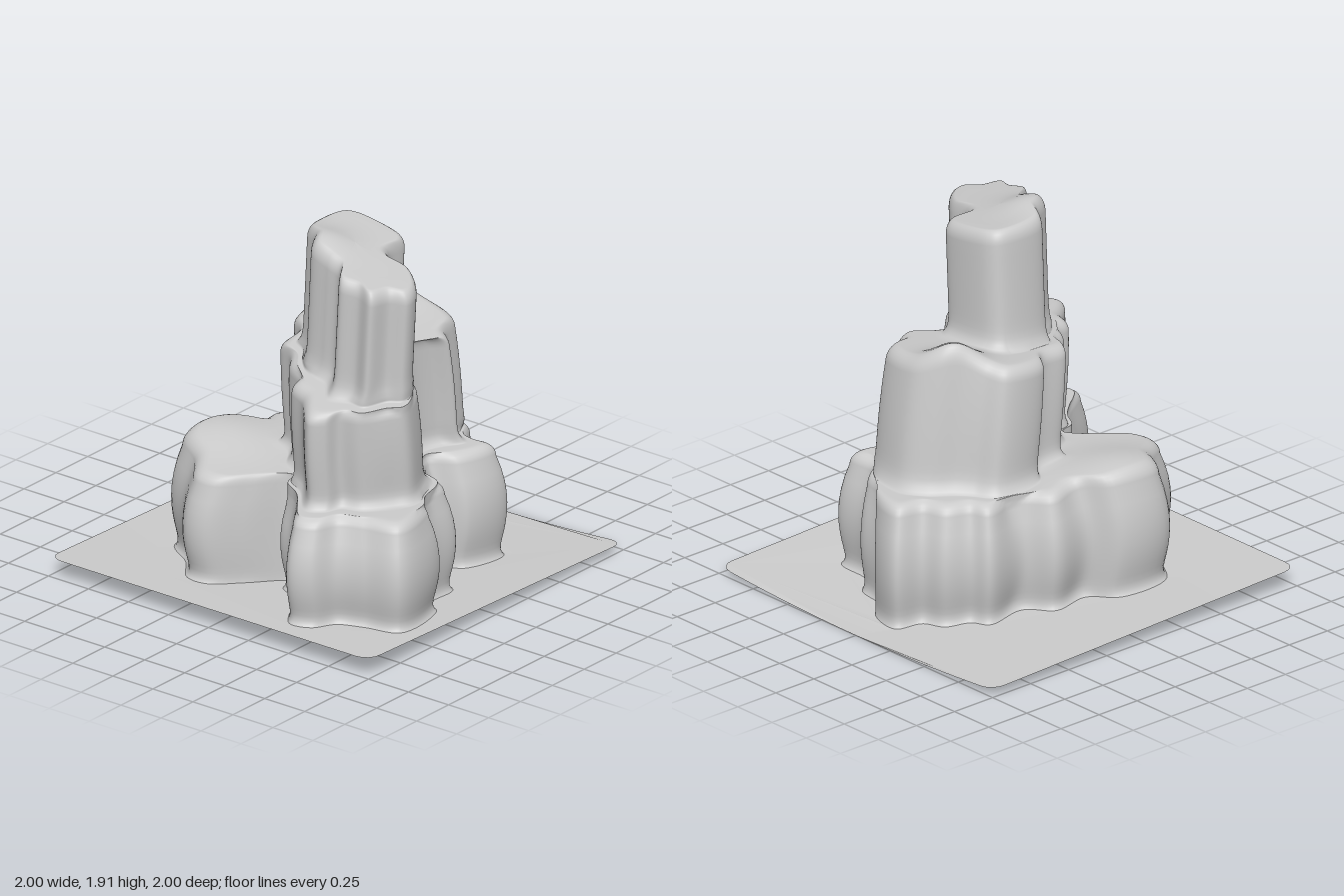
import * as THREE from 'three';

const SAMPLES = 56; // samples per matched run of an outline
const bump = (x, z, cx, cz, r) => Math.exp(-((x - cx) ** 2 + (z - cz) ** 2) / (r * r));

// Height rules: ground, then the top of each tier
const ground = (x, z) => 0.05 - 0.05 * x + 0.02 * (1 + x) * z * z;
const tops = [
  (x, z) => 0.64 + 0.08 * bump(x, z, -0.3, -0.5, 0.3),
  (x, z) => 1.25 + 0.1 * x - 0.05 * z + 0.1 * bump(x, z, 0.38, -0.03, 0.14),
  (x, z) => 1.875 - 0.15 * (z - 0.05) + 0.05 * bump(x, z, -0.3, 0.17, 0.15),
];

// Tier outlines as [x, z], in runs that correspond between tiers:
// left, front, front notch, front right, right, back, left notch
const lower = [
  [[-.9, .42], [-.87, .53], [-.75, .6], [-.69, .73]],
  [[-.63, .91], [-.28, .87], [-.2, .77], [0, .75], [.07, .6]],
  [[.18, .5], [.27, .62]],
  [[.54, .64], [.57, .42], [.67, .33], [.7, .16], [.8, .08]],
  [[.83, -.1], [.7, -.15], [.65, -.26], [.53, -.32], [.48, -.41], [.25, -.4]],
  [[.15, -.53], [-.06, -.52], [-.18, -.65], [-.46, -.66], [-.6, -.48], [-.76, -.34], [-.76, -.22], [-.62, -.09]],
  [[-.45, .05], [-.55, .09], [-.61, .2], [-.73, .29]],
];
const middle = [
  [[-.71, .4], [-.67, .47], [-.59, .5], [-.55, .6]],
  [[-.42, .7], [-.35, .74], [-.26, .72], [-.1, .62], [-.05, .48]],
  [[.15, .37], [.27, .4]],
  [[.35, .47], [.42, .4], [.54, .36]],
  [[.6, .1], [.54, -.02], [.43, -.11], [.37, -.18], [.3, -.28]],
  [[.05, -.28], [-.02, -.19], [-.2, -.17], [-.24, -.08], [-.34, -.01]],
  [[-.41, .1], [-.5, .13], [-.56, .24]],
];
const upper = [
  [[-.51, .42], [-.49, .52], [-.51, .61]],
  [[-.41, .65], [-.36, .72], [-.28, .71], [-.15, .58], [-.13, .45]],
  [[-.06, .37]],
  [[.07, .36], [.11, .31]],
  [[.11, .03]],
  [[.06, -.03], [-.2, -.03], [-.27, .06]],
  [[-.38, .14], [-.4, .25], [-.41, .33]],
];

// Wall profile as [inset, height fraction]: flared foot, bulging side, rounded rim
function wallProfile(bulge, rim) {
  const inset = (t) => bulge * ((t - 0.45) / 0.45) ** 2 - 0.045 * Math.exp(-t / 0.045);
  const profile = [];
  for (let i = 0; i <= 12; i++) {
    const t = 0.88 * (i / 12) ** 1.6;
    profile.push([inset(t), t]);
  }
  for (let i = 1; i <= 6; i++) {
    const a = i / 6 * Math.PI / 2;
    profile.push([inset(0.88) + rim * (1 - Math.cos(a)), 0.88 + 0.12 * Math.sin(a)]);
  }
  return profile;
}

// Smooth closed outline with the same sample count in every run
function sampleOutline(runs) {
  const all = runs.flat().map(([x, z]) => new THREE.Vector3(x, 0, z));
  const curve = new THREE.CatmullRomCurve3(all, true, 'centripetal');
  const points = [];
  let start = 0;
  for (const run of runs) {
    for (let i = 0; i < SAMPLES; i++) points.push(curve.getPoint((start + run.length * i / SAMPLES) / all.length));
    start += run.length;
  }
  return points;
}

// Point moved a limited distance towards a target
function towards(p, target, distance, limit) {
  const gap = p.distanceTo(target) || 1e-6;
  return p.clone().lerp(target, Math.min(distance, gap * limit) / gap);
}

// Rings between a rim and a target ring, lying on a top surface
function ledge(rim, target, top, steps) {
  return steps.map((s) => rim.map((p, i) => {
    const q = p.clone().lerp(target[i], s);
    q.y = top(q.x, q.z);
    return q;
  }));
}

// All rings from the foot of the rock to the summit
function rockRings() {
  const rims = [lower, middle, upper].map(sampleOutline);
  const summit = rims[0].map(() => new THREE.Vector3(-.2, 0, .28));
  rims.push(summit);
  const bulges = [.06, .01, 0], roundings = [.08, .07, .05];
  const leansX = [0, -.07, -.01], leansZ = [0, .01, .04];
  const rings = [];
  for (let k = 0; k < 3; k++) {
    const below = k ? tops[k - 1] : ground;
    const wall = wallProfile(bulges[k], roundings[k]).map(([inset, t]) => rims[k].map((p, i) => {
      const q = inset < 0 && k ? towards(p, rims[k - 1][i], -inset, 0.25) : towards(p, rims[k + 1][i], inset, 0.55);
      q.x += leansX[k] * (1 + 0.5 * q.x) * (t - 0.3);
      q.z += leansZ[k] * (t - 0.5);
      q.y = THREE.MathUtils.lerp(below(q.x, q.z), tops[k](q.x, q.z), t);
      return q;
    }));
    if (k) rings.push(...ledge(rings.at(-1), wall[0], below, [.2, .4, .6, .8]));
    rings.push(...wall);
  }
  rings.push(...ledge(rings.at(-1), summit, tops[2], [.2, .4, .6, .8, 1]));
  return rings;
}

function loft(rings) {
  const n = rings[0].length, index = [];
  for (let r = 0; r < rings.length - 1; r++) {
    for (let i = 0; i < n; i++) {
      const a = r * n + i, b = r * n + (i + 1) % n;
      index.push(a, b, b + n, a, b + n, a + n);
    }
  }
  const geometry = new THREE.BufferGeometry().setFromPoints(rings.flat());
  geometry.setIndex(index);
  geometry.computeVertexNormals();
  return geometry;
}

// Rounded square sheet, open under the rock
function groundGeometry(foot) {
  const r = 0.08, c = 1 - r, q = Math.PI / 2;
  const square = new THREE.Shape();
  square.absarc(c, c, r, 0, q).absarc(-c, c, r, q, 2 * q);
  square.absarc(-c, -c, r, 2 * q, 3 * q).absarc(c, -c, r, 3 * q, 4 * q).closePath();
  const shape = new THREE.Shape(square.getSpacedPoints(240));
  shape.holes.push(new THREE.Path(foot.map((p) => new THREE.Vector2(p.x, -p.z))));
  const geometry = new THREE.ShapeGeometry(shape).rotateX(-q);
  const pos = geometry.attributes.position;
  for (let i = 0; i < pos.count; i++) pos.setY(i, ground(pos.getX(i), pos.getZ(i)));
  geometry.computeVertexNormals();
  return geometry;
}

export function createModel() {
  const group = new THREE.Group();
  group.name = 'steppedRock';
  const material = new THREE.MeshStandardMaterial({ color: 0xcccccc, side: THREE.DoubleSide });
  const rings = rockRings();
  const add = (name, geometry) => {
    const mesh = new THREE.Mesh(geometry, material);
    mesh.name = name;
    group.add(mesh);
  };
  add('rockTiers', loft(rings));
  add('groundSheet', groundGeometry(rings[0]));
  return group;
}
